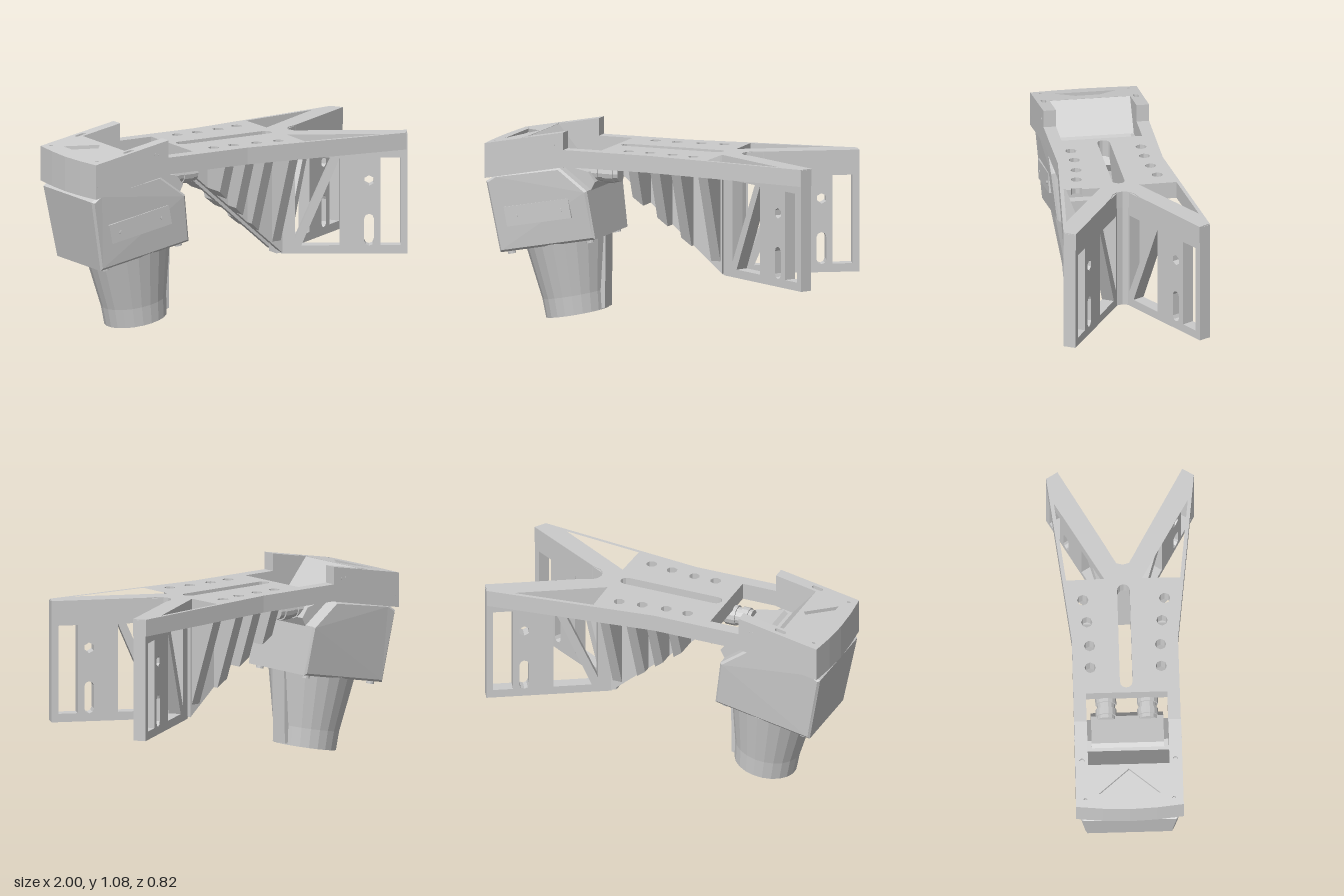
import * as THREE from 'three';

const mat = new THREE.MeshStandardMaterial({ color: 0xcccccc, flatShading: true });
const V = (p) => p.map(([x, y]) => new THREE.Vector2(x, y));
const poly = (p) => new THREE.Shape(V(p));
const hole = (p) => new THREE.Path(V(p));
const mirrored = (p) => p.map(([x, z]) => [x, -z]);

// regular polygon hole
function ngon(cx, cy, r, n = 6) {
  const pts = [];
  for (let i = 0; i < n; i++) {
    const a = (i / n) * Math.PI * 2 + Math.PI / 2;
    pts.push([cx + r * Math.cos(a), cy + r * Math.sin(a)]);
  }
  return hole(pts);
}

// long hole with rounded ends, along x or y
function slot(cx, cy, halfLen, r, along = 'x', n = 6) {
  const pts = [];
  for (let side = 0; side < 2; side++) {
    for (let i = 0; i <= n; i++) {
      const a = -Math.PI / 2 + side * Math.PI + (i / n) * Math.PI;
      const u = (side ? -1 : 1) * (halfLen - r) + r * Math.cos(a), v = r * Math.sin(a);
      pts.push(along === 'x' ? [cx + u, cy + v] : [cx - v, cy + u]);
    }
  }
  return hole(pts);
}

function mesh(parent, name, geometry) {
  const m = new THREE.Mesh(geometry, mat);
  m.name = name;
  parent.add(m);
  return m;
}

const extrude = (shape, depth) => new THREE.ExtrudeGeometry(shape, { depth, bevelEnabled: false });

// plan shape (x, z) extruded down from a top height
const slab = (shape, top, depth) => extrude(shape, depth).rotateX(Math.PI / 2).translate(0, top, 0);

// side profile (x, y) extruded across z
const across = (pts, half) => extrude(poly(pts), half * 2).translate(0, 0, -half);

// raise y along x by a constant slope
function shear(g, slope, x0) {
  const p = g.attributes.position;
  for (let i = 0; i < p.count; i++) p.setY(i, p.getY(i) + slope * (p.getX(i) - x0));
  g.computeVertexNormals();
  return g;
}

function buildDeck(g) {
  const half = [[0, 0.293], [0.953, 0.408], [0.994, 0.345], [0.53, 0.08], [0.475, 0.06], [0.45, 0.035]];
  const shape = poly([
    [-0.31, 0.225], [-0.55, 0.225], [-0.55, 0.295], ...half, [0.44, 0],
    ...mirrored(half).reverse(), [-0.55, -0.295], [-0.55, -0.225], [-0.31, -0.225],
  ]);
  shape.holes.push(slot(0.022, 0, 0.303, 0.035));
  const tri = [[0.355, 0.315], [0.81, 0.37], [0.36, 0.105]];
  shape.holes.push(hole(tri), hole(mirrored(tri)));
  for (const [x, z] of [[-0.16, 0.196], [-0.032, 0.196], [0.108, 0.208], [0.238, 0.226]]) {
    shape.holes.push(ngon(x, z, 0.031, 8), ngon(x, -z, 0.031, 8));
  }
  mesh(g, 'deck', slab(shape, 0.985, 0.095));
}

// two tall panels forming the V, with windows and diagonal struts
function buildPanels(g) {
  const t = 0.07;
  const shape = poly([[-0.02, 0.32], [0, 0.303], [0.695, 0.303], [0.695, 0.98], [-0.02, 0.98]]);
  shape.holes.push(
    hole([[0.074, 0.39], [0.074, 0.845], [0.275, 0.845]]),
    hole([[0.11, 0.35], [0.322, 0.35], [0.322, 0.845]]),
    hole([[0.547, 0.35], [0.657, 0.35], [0.657, 0.845], [0.547, 0.845]]),
    ngon(0.484, 0.715, 0.03, 6),
    slot(0.484, 0.437, 0.09, 0.027, 'y', 4),
  );
  for (const side of [1, -1]) {
    const geo = extrude(shape, t);
    if (side < 0) geo.translate(0, 0, -t);
    const m = mesh(g, side > 0 ? 'leftPanel' : 'rightPanel', geo);
    m.rotation.y = -side * Math.PI / 6;
    m.position.x = 0.391;
  }
  // filler where the panels meet
  mesh(g, 'panelNose', slab(poly([[0.335, 0.04], [0.36, 0.05], [0.45, 0.045], [0.435, 0], [0.45, -0.045], [0.36, -0.05], [0.335, -0.04]]), 0.97, 0.666));
}

// twin webs under the deck, braced to its edges by leaning gussets between the holes
function buildWebs(g) {
  const bottom = (x) => Math.min(0.885, Math.max(0.305, 0.62 - 0.875 * x));
  const reach = (y) => 0.06 + 0.21 * (y - 0.33) / 0.56;
  for (const side of [1, -1]) {
    const web = across([[-0.3, 0.883], [0.35, 0.314], [0.35, 0.9], [-0.3, 0.9]], 0.02);
    mesh(g, 'web', web.translate(0, 0, side * 0.06));
    for (const [x0, x1] of [[-0.13, -0.075], [0, 0.055], [0.125, 0.18], [0.285, 0.34]]) {
      const geo = new THREE.BoxGeometry(1, 1, 1).toNonIndexed();
      const p = geo.attributes.position;
      for (let i = 0; i < p.count; i++) {
        const x = p.getX(i) > 0 ? x1 : x0;
        const y = p.getY(i) > 0 ? 0.9 : bottom(x);
        p.setXYZ(i, x, y, side * (p.getZ(i) * side > 0 ? reach(y) : 0.045));
      }
      geo.computeVertexNormals();
      mesh(g, 'gusset', geo);
    }
  }
}

// tilted U-shaped head with a shallow triangular recess
function buildHead(g) {
  const outline = [[-0.51, 0.295], [-0.978, 0.297], [-0.992, 0.15], [-0.998, 0], [-0.992, -0.15], [-0.978, -0.297],
    [-0.51, -0.295], [-0.51, -0.225], [-0.75, -0.225], [-0.75, 0.225], [-0.51, 0.225]];
  const top = poly(outline);
  top.holes.push(hole([[-0.91, 0.17], [-0.775, 0], [-0.91, -0.17]]));
  for (const s of [1, -1]) top.holes.push(ngon(-0.94, s * 0.245, 0.01), slot(-0.745, s * 0.258, 0.032, 0.014));
  mesh(g, 'headTop', shear(slab(top, 0.99, 0.02), 0.19, -1));
  mesh(g, 'headBody', shear(slab(poly(outline), 0.97, 0.175), 0.19, -1));
  mesh(g, 'headRamp', across([[-0.77, 0.845], [-0.61, 0.87], [-0.75, 1.036], [-0.77, 1.03]], 0.225));
  for (const s of [1, -1]) {
    for (const [x, y] of [[-0.595, 1.01], [-0.57, 1.01], [-0.96, 0.87], [-0.92, 0.87]]) {
      mesh(g, 'headPin', new THREE.CylinderGeometry(0.008, 0.008, 0.01, 8).rotateX(Math.PI / 2).translate(x, y, s * 0.292));
    }
  }
}

// tilted pod with a tapered barrel hanging under it
function buildPod(g) {
  const pod = new THREE.Group();
  pod.name = 'pod';
  pod.position.set(-0.65, 0.6, 0);
  pod.rotation.z = 0.188;
  g.add(pod);

  const b = 0.012;
  const profile = poly([[-0.285, -0.158], [0.268, -0.158], [0.278, 0.1], [0.145, 0.244], [-0.23, 0.251], [-0.283, 0.228]]);
  const body = new THREE.ExtrudeGeometry(profile, { depth: 0.516, bevelThickness: b, bevelSize: b, bevelSegments: 1 });
  body.translate(0, 0, -0.258);
  const p = body.attributes.position;
  for (let i = 0; i < p.count; i++) {
    if (p.getY(i) < 0) p.setZ(i, p.getZ(i) * 0.9);
  }
  body.computeVertexNormals();
  mesh(pod, 'podBody', body);

  // raised panel on the front side only
  mesh(pod, 'sidePlate', new THREE.BoxGeometry(0.39, 0.11, 0.03)).position.set(-0.02, 0.025, 0.255);
  for (const x of [-0.15, 0.12]) {
    mesh(pod, 'plateScrew', new THREE.CylinderGeometry(0.01, 0.01, 0.02, 8).rotateX(Math.PI / 2).translate(x, 0.02, 0.264));
  }
  for (const s of [1, -1]) {
    for (const x of [-0.245, 0.23]) {
      mesh(pod, 'baseScrew', new THREE.CylinderGeometry(0.022, 0.022, 0.03, 10).translate(x, -0.172, s * 0.195));
    }
    mesh(pod, 'topPad', new THREE.BoxGeometry(0.1, 0.04, 0.08).translate(-0.05, 0.265, s * 0.17));
  }

  const barrel = new THREE.LatheGeometry(V([[0, -0.577], [0.176, -0.577], [0.184, -0.47], [0.24, -0.165], [0, -0.165]]), 22);
  const cp = barrel.attributes.position;
  for (let i = 0; i < cp.count; i++) cp.setX(i, cp.getX(i) - 0.004 + 0.025 * (cp.getY(i) + 0.577) / 0.4);
  barrel.computeVertexNormals();
  mesh(pod, 'barrel', barrel);
  mesh(pod, 'barrelSpine', across([[0.1, -0.575], [0.185, -0.57], [0.268, -0.16], [0.1, -0.16]], 0.05));
  mesh(pod, 'barrelCapScrew', new THREE.CylinderGeometry(0.022, 0.022, 0.012, 10).translate(0, -0.575, 0));

  // yoke and twin joints between pod and deck
  mesh(g, 'yoke', across([[-0.62, 0.85], [-0.57, 0.89], [-0.4, 0.855], [-0.36, 0.8], [-0.4, 0.72], [-0.5, 0.74]], 0.2));
  for (const z of [0.115, -0.115]) {
    for (const [r, x0, x1] of [[0.05, -0.42, -0.24], [0.058, -0.4, -0.36], [0.058, -0.33, -0.27]]) {
      const j = mesh(g, 'joint', new THREE.CylinderGeometry(r, r, x1 - x0, 14).rotateZ(Math.PI / 2));
      j.position.set((x0 + x1) / 2, 0.845, z);
    }
  }
}

export function createModel() {
  const model = new THREE.Group();
  model.name = 'bracketWithPod';
  const g = new THREE.Group();
  g.name = 'assembly';
  g.rotation.y = -0.015;
  g.position.z = -0.015;
  model.add(g);
  buildDeck(g);
  buildPanels(g);
  buildWebs(g);
  buildHead(g);
  buildPod(g);
  return model;
}
